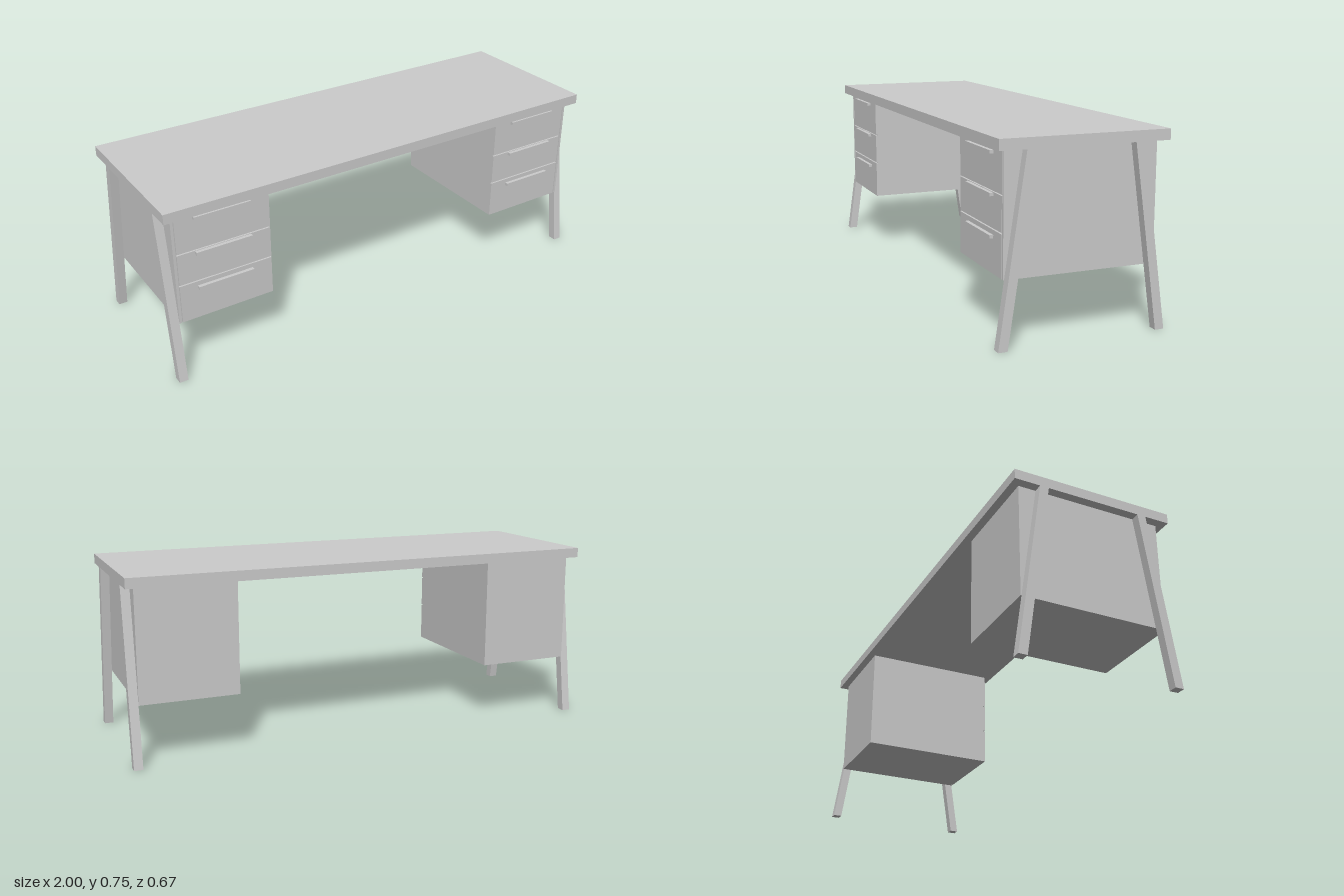
import * as THREE from 'three';

const material = new THREE.MeshStandardMaterial({ color: 0xcccccc, flatShading: true });

// Box given by its minimum and maximum on each axis
function box(name, [x0, x1], [y0, y1], [z0, z1]) {
  const geometry = new THREE.BoxGeometry(x1 - x0, y1 - y0, z1 - z0);
  geometry.translate((x0 + x1) / 2, (y0 + y1) / 2, (z0 + z1) / 2);
  const mesh = new THREE.Mesh(geometry, material);
  mesh.name = name;
  return mesh;
}

const TOP_UNDER = 0.706;
const LEG_SPLAY = 0.104;

// Square leg sheared outwards towards the floor
function leg(name, side, end) {
  const mesh = box(name, side > 0 ? [0.964, 1] : [-1, -0.964], [0, TOP_UNDER], [-0.018, 0.018]);
  const p = mesh.geometry.attributes.position;
  for (let i = 0; i < p.count; i++) {
    const z = 0.315 - LEG_SPLAY * (p.getY(i) / TOP_UNDER);
    p.setZ(i, p.getZ(i) + end * z);
  }
  mesh.geometry.computeVertexNormals();
  return mesh;
}

// Drawer pedestal with three fronts, narrow gaps and bar handles
function pedestal(name, side) {
  const group = new THREE.Group();
  group.name = name;
  const span = (a, b) => (side > 0 ? [a, b] : [-b, -a]);
  const bottom = 0.247, front = 0.3, recess = 0.292;

  group.add(box('carcass', span(0.56, 0.964), [bottom, TOP_UNDER], [-0.3, recess]));
  group.add(box('outerStile', span(0.954, 0.964), [bottom, TOP_UNDER], [recess, front]));

  const fronts = [[bottom, 0.407], [0.412, 0.542], [0.547, TOP_UNDER]];
  const handleHeights = [0.383, 0.534, 0.684];
  fronts.forEach((range, i) => {
    group.add(box('drawerFront', span(0.56, 0.95), range, [recess, front]));
    const y = handleHeights[i];
    group.add(box('drawerHandle', span(0.643, 0.877), [y - 0.006, y + 0.006], [front, 0.315]));
  });
  return group;
}

export function createModel() {
  const desk = new THREE.Group();
  desk.name = 'desk';
  desk.add(box('desktop', [-1, 1], [TOP_UNDER, 0.747], [-0.333, 0.333]));
  for (const side of [-1, 1]) {
    const label = side > 0 ? 'left' : 'right';
    desk.add(pedestal(label + 'Pedestal', side));
    desk.add(leg(label + 'FrontLeg', side, 1), leg(label + 'BackLeg', side, -1));
  }
  return desk;
}
